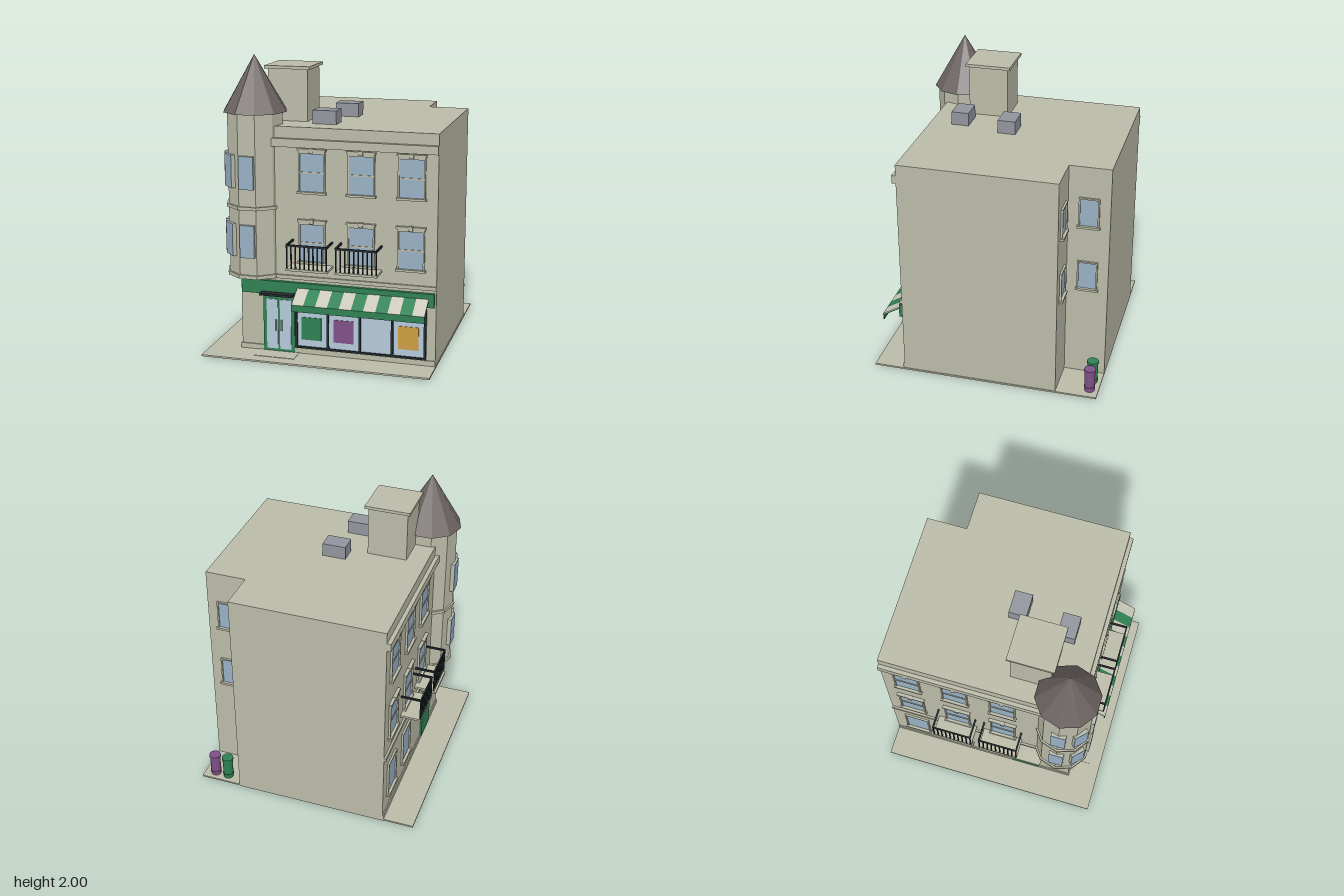
import * as THREE from 'three';

const mat = (name, color, extra = {}) => Object.assign(new THREE.MeshStandardMaterial({ color, ...extra }), { name });
const M = {
  wall: mat('stone', 0xbbbba8),
  roof: mat('slate', 0x6b6361, { flatShading: true }),
  glass: mat('windowGlass', 0x98b0c4),
  shopGlass: mat('shopGlass', 0xb4c9d9),
  green: mat('green', 0x2f8153),
  dark: mat('darkIron', 0x22292d),
  purple: mat('purple', 0x7f5088),
  orange: mat('orange', 0xcb9d40),
  cream: mat('cream', 0xc8c7b8),
  grey: mat('greyMetal', 0x92959d),
};
const facetedWall = M.wall.clone();
facetedWall.flatShading = true;

// Box given by its min/max extents
function box(parent, name, m, [x0, x1], [y0, y1], [z0, z1]) {
  const mesh = new THREE.Mesh(new THREE.BoxGeometry(x1 - x0, y1 - y0, z1 - z0), m);
  mesh.position.set((x0 + x1) / 2, (y0 + y1) / 2, (z0 + z1) / 2);
  mesh.name = name;
  parent.add(mesh);
  return mesh;
}

function group(parent, name, x = 0, z = 0, turn = 0) {
  const g = new THREE.Group();
  g.name = name;
  g.position.set(x, 0, z);
  g.rotation.y = turn;
  parent.add(g);
  return g;
}

function cyl(parent, name, m, rTop, r, y0, y1, sides, x = 0, z = 0, turn = 0) {
  const mesh = new THREE.Mesh(new THREE.CylinderGeometry(rTop, r, y1 - y0, sides), m);
  mesh.position.set(x, (y0 + y1) / 2, z);
  mesh.rotation.y = turn;
  mesh.name = name;
  parent.add(mesh);
}

// Sash window on a wall whose outside faces local +z
function sashWindow(wall, x, y0, y1, hw, ornate = true) {
  const g = group(wall, 'window', x);
  box(g, 'glass', M.glass, [-hw, hw], [y0, y1], [0, 0.005]);
  for (const s of [-1, 1]) {
    const e = [s * hw, s * (hw + 0.01)].sort((a, b) => a - b);
    box(g, 'frameSide', M.wall, e, [y0, y1], [0, 0.014]);
  }
  box(g, 'sill', M.wall, [-hw - 0.018, hw + 0.018], [y0 - 0.015, y0], [0, 0.024]);
  if (!ornate) {
    box(g, 'frameTop', M.wall, [-hw - 0.01, hw + 0.01], [y1, y1 + 0.01], [0, 0.014]);
    return;
  }
  box(g, 'sashBar', M.wall, [-hw, hw], [(y0 + y1) / 2 - 0.005, (y0 + y1) / 2 + 0.005], [0, 0.01]);
  box(g, 'lintel', M.wall, [-hw - 0.01, hw + 0.01], [y1, y1 + 0.02], [0, 0.016]);
  box(g, 'lintelCap', M.wall, [-hw - 0.018, hw + 0.018], [y1 + 0.02, y1 + 0.033], [0, 0.022]);
  box(g, 'keystone', M.wall, [-0.014, 0.014], [y1 + 0.008, y1 + 0.037], [0, 0.026]);
}

// Balcony with a slab, front balusters and a U-shaped top rail
function balcony(wall, x) {
  const g = group(wall, 'balcony', x);
  const w = 0.14, d = 0.14;
  box(g, 'balconyFloor', M.wall, [-w, w], [0.625, 0.64], [0, d]);
  box(g, 'frontRail', M.dark, [-w, w], [0.79, 0.803], [d - 0.01, d]);
  for (const s of [-1, 1]) box(g, 'sideRail', M.dark, [s * (w - 0.006) - 0.006, s * (w - 0.006) + 0.006], [0.79, 0.803], [0, d]);
  for (let i = 0; i < 10; i++) {
    const bx = -w + 0.006 + (i * (2 * w - 0.012)) / 9;
    box(g, 'baluster', M.dark, [bx - 0.004, bx + 0.004], [0.64, 0.79], [d - 0.009, d - 0.001]);
  }
}

export function createModel() {
  const model = new THREE.Group();
  model.name = 'cornerShopBuilding';

  // Pavement and main block with a notched back corner
  box(model, 'pavement', M.wall, [-0.775, 0.775], [0.004, 0.015], [-0.775, 0.772]);
  box(model, 'doorStep', M.wall, [-0.435, -0.155], [0, 0.018], [0.56, 0.69]);
  const plan = new THREE.Shape([[-0.56, -0.56], [0.77, -0.56], [0.77, 0.497], [0.49, 0.497], [0.49, 0.775], [-0.56, 0.775]]
    .map(([x, y]) => new THREE.Vector2(x, y)));
  const bodyGeo = new THREE.ExtrudeGeometry(plan, { depth: 1.55, bevelEnabled: false }).rotateX(-Math.PI / 2);
  const body = new THREE.Mesh(bodyGeo, M.wall);
  body.name = 'mainBlock';
  model.add(body);

  // Mouldings along the two street walls
  for (const [name, y0, y1, d] of [['plinth', 0.012, 0.05, 0.008], ['stringCourse', 0.53, 0.555, 0.014], ['cornice', 1.42, 1.475, 0.027]]) {
    box(model, name + 'Front', M.wall, [-0.56 - d, 0.77], [y0, y1], [0.56, 0.56 + d]);
    box(model, name + 'Side', M.wall, [-0.56 - d, -0.56], [y0, y1], [-0.775, 0.56]);
  }

  const front = group(model, 'frontWall', 0, 0.56, 0);
  const left = group(model, 'sideStreetWall', -0.56, 0, -Math.PI / 2);
  const notchSide = group(model, 'notchSideWall', 0.49, 0, Math.PI / 2);
  const notchBack = group(model, 'notchBackWall', 0, -0.497, Math.PI);

  // Upper windows and balconies
  for (const [wall, xs] of [[front, [-0.06, 0.27, 0.6]], [left, [-0.6, -0.27, 0.06]]]) {
    for (const x of xs) for (const y of [0.66, 1.13]) sashWindow(wall, x, y, y + 0.25, 0.08);
  }
  for (const x of [-0.06, 0.27]) balcony(front, x);
  for (const x of [-0.275, 0.058]) balcony(left, x);
  for (const y of [0.675, 1.137]) {
    sashWindow(notchSide, 0.636, y, y + 0.19, 0.058, false);
    sashWindow(notchBack, -0.632, y, y + 0.19, 0.058, false);
  }

  // Side street ground floor: windows, door and its canopy
  for (const x of [-0.6, -0.27]) sashWindow(left, x, 0.17, 0.42, 0.08, false);
  box(left, 'sideDoor', M.green, [0.13, 0.33], [0.03, 0.42], [0, 0.012]);
  box(left, 'sideCanopy', M.wall, [0.1, 0.36], [0.468, 0.483], [0, 0.11]);

  // Shop sign board, double door and door canopy
  box(front, 'signBoard', M.green, [-0.55, 0.76], [0.418, 0.51], [0, 0.025]);
  box(front, 'doorCanopy', M.dark, [-0.41, -0.18], [0.42, 0.435], [0, 0.077]);
  box(front, 'doorFrame', M.green, [-0.402, -0.184], [0.018, 0.41], [0, 0.014]);
  for (const s of [-1, 1]) {
    const c = -0.293 + s * 0.046;
    box(front, 'doorGlass', M.shopGlass, [c - 0.039, c + 0.039], [0.035, 0.382], [0.014, 0.018]);
    const h = -0.293 + s * 0.019;
    box(front, 'doorHandle', M.grey, [h - 0.006, h + 0.006], [0.165, 0.24], [0.018, 0.028]);
  }

  // Shop window: glass, bars and posters
  const shop = group(front, 'shopWindow');
  box(shop, 'shopGlass', M.shopGlass, [-0.18, 0.71], [0.06, 0.41], [0, 0.008]);
  for (let i = 0; i < 5; i++) {
    const x = -0.172 + i * 0.2185;
    box(shop, 'mullion', M.dark, [x - 0.008, x + 0.008], [0.055, 0.41], [0, 0.018]);
  }
  for (const y of [0.055, 0.4]) box(shop, 'shopRail', M.dark, [-0.18, 0.71], [y, y + 0.013], [0, 0.018]);
  for (const [x, m] of [[-0.068, M.green], [0.153, M.purple], [0.592, M.orange]]) {
    box(shop, 'poster', m, [x - 0.068, x + 0.068], [0.115, 0.272], [0.008, 0.012]);
  }

  // Striped awning with a hanging valance
  const awning = group(front, 'awning');
  const slope = new THREE.Group();
  slope.name = 'awningSlope';
  slope.position.set(0, 0.475, 0.02);
  slope.rotation.x = Math.atan2(0.077, 0.132);
  awning.add(slope);
  const run = Math.hypot(0.077, 0.132), stripe = 0.885 / 11;
  box(slope, 'awningLining', M.green, [-0.16, 0.725], [-0.009, -0.003], [0, run]);
  for (let i = 0; i < 11; i++) {
    const x = -0.16 + i * stripe;
    box(slope, 'stripe', i % 2 ? M.green : M.cream, [x, x + stripe], [-0.003, 0.003], [0, run]);
  }
  box(awning, 'valance', M.green, [-0.16, 0.725], [0.355, 0.4], [0.147, 0.155]);

  // Ten-sided corner turret
  const turret = group(model, 'turret', -0.475, 0.47);
  const turn = Math.PI / 10;
  cyl(turret, 'turretShaft', facetedWall, 0.19, 0.19, 0.535, 1.63, 10, 0, 0, turn);
  cyl(turret, 'turretBase', facetedWall, 0.203, 0.203, 0.533, 0.558, 10, 0, 0, turn);
  cyl(turret, 'turretBand', facetedWall, 0.203, 0.203, 1.0, 1.022, 10, 0, 0, turn);
  cyl(turret, 'turretRoof', M.roof, 0, 0.215, 1.63, 2, 10, 0, 0, turn);
  for (let i = 0; i < 3; i++) {
    const face = group(turret, 'turretWindow', 0, 0, (-i * Math.PI) / 4);
    for (const y of [0.68, 1.14]) {
      box(face, 'turretSash', M.wall, [-0.05, 0.05], [y, y + 0.22], [0.17, 0.197]);
      box(face, 'turretGlass', M.glass, [-0.05, 0.05], [y, y + 0.22], [0.197, 0.203]);
    }
  }

  // Rooftop stair tower and air units
  box(model, 'stairTower', M.wall, [-0.425, -0.155], [1.54, 1.895], [0.075, 0.345]);
  box(model, 'stairTowerCap', M.wall, [-0.445, -0.135], [1.895, 1.915], [0.055, 0.365]);
  for (const [x, z] of [[0.04, 0.01], [-0.02, 0.35]]) {
    box(model, 'airUnit', M.grey, [x - 0.08, x + 0.08], [1.55, 1.64], [z - 0.06, z + 0.06]);
  }

  // Bins in the back corner
  for (const [x, m] of [[0.6, M.green], [0.695, M.purple]]) {
    const bin = group(model, 'bin', x, -0.715);
    cyl(bin, 'binBody', m, 0.036, 0.034, 0.015, 0.168, 16);
    cyl(bin, 'binLid', m, 0.04, 0.04, 0.168, 0.182, 16);
    cyl(bin, 'binHoop', m, 0.038, 0.038, 0.04, 0.05, 16);
  }
  return model;
}
